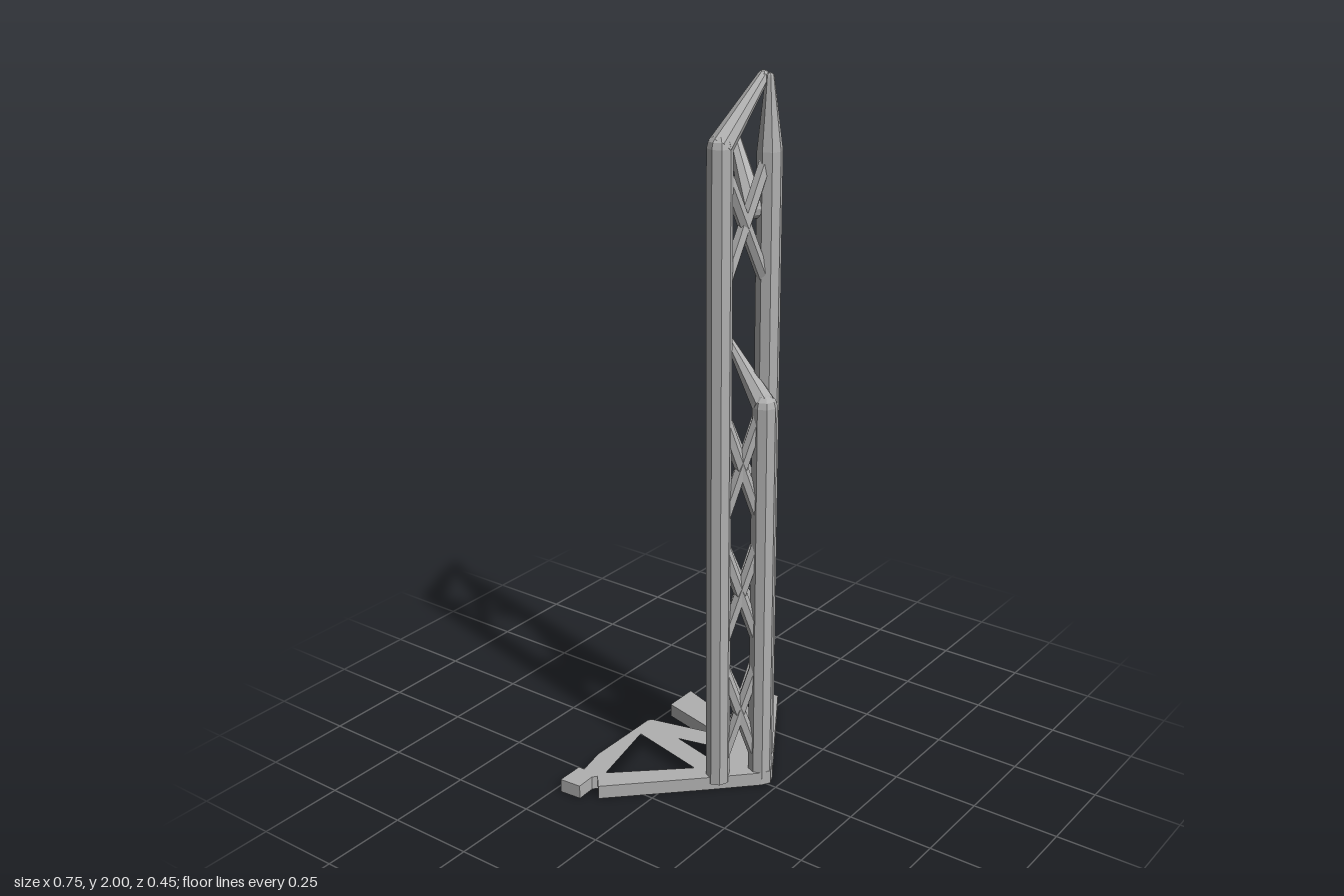
import * as THREE from 'three';

const grey = new THREE.MeshStandardMaterial({ color: 0xb0b0b0, flatShading: true });
grey.name = 'grey';
const V = (x, y, z) => new THREE.Vector3(x, y, z);

export function createModel() {
  const model = new THREE.Group();
  model.name = 'latticeTower';

  const add = (name, geometry) => {
    const mesh = new THREE.Mesh(geometry, grey);
    mesh.name = name;
    model.add(mesh);
    return mesh;
  };

  // A straight, optionally tapered bar between two points
  const bar = (name, a, b, r0, r1 = r0, sides = 8) => {
    const dir = b.clone().sub(a);
    const mesh = add(name, new THREE.CylinderGeometry(r1, r0, dir.length(), sides));
    mesh.position.copy(a).add(b).multiplyScalar(0.5);
    mesh.quaternion.setFromUnitVectors(V(0, 1, 0), dir.normalize());
  };
  const knob = (name, p, r) => add(name, new THREE.SphereGeometry(r, 8, 6)).position.copy(p);
  const spike = (name, a, b, r0, r1) => {
    bar(name, a, b, r0, r1);
    knob(name + 'Root', a, r0);
    knob(name + 'Tip', b, r1);
  };

  // Flat branching foot, drawn in x and z
  const points = (list) => list.map(([x, z]) => new THREE.Vector2(x, -z));
  const foot = new THREE.Shape(points([
    [-0.376, -0.228], [-0.296, -0.228], [-0.296, -0.209], [-0.21, -0.228],
    [0.025, -0.228], [0.035, -0.22], [0.085, -0.006], [0.138, -0.228],
    [0.24, -0.228], [0.142, 0.066], [0.374, -0.072], [0.374, 0.006],
    [0.04, 0.212], [0.01, 0.225], [-0.015, 0.21], [-0.12, 0.106],
    [-0.341, -0.12], [-0.302, -0.155], [-0.315, -0.165], [-0.371, -0.163],
  ]));
  const holes = [
    [[-0.274, -0.147], [-0.05, -0.197], [-0.105, 0.04]],
    [[-0.005, -0.09], [0.033, 0.074], [-0.045, 0.074]],
  ];
  for (const h of holes) foot.holes.push(new THREE.Path(points(h)));
  const plate = new THREE.ExtrudeGeometry(foot, { depth: 0.04, bevelEnabled: false });
  add('foot', plate.rotateX(-Math.PI / 2));

  // Three upright posts
  const R = 0.034;
  const posts = {
    right: { x: -0.087, z: 0.11, top: 1.83 },
    left: { x: 0.08, z: 0.146, top: 1.8 },
    front: { x: 0.01, z: 0.188, top: 1.14 },
  };
  const at = (p, y) => V(p.x, y, p.z);
  for (const [key, p] of Object.entries(posts)) {
    bar(key + 'Post', at(p, 0.02), at(p, p.top), R);
  }

  // Crossed braces between pairs of posts
  const cross = (p, q, y) => {
    bar('brace', at(p, y - 0.185), at(q, y + 0.185), 0.018, 0.018, 6);
    bar('brace', at(p, y + 0.185), at(q, y - 0.185), 0.018, 0.018, 6);
  };
  const { right, left, front } = posts;
  for (const y of [0.23, 0.6, 0.97]) {
    cross(right, left, y);
    cross(right, front, y);
    cross(left, front, y);
  }
  cross(right, left, 1.62);

  // Pointed top, sloping top arm and the two rear spikes
  spike('topPoint', at(left, 1.8), V(0.08, 1.983, 0.143), R, 0.012);
  spike('topArm', at(right, 1.83), V(0.078, 1.984, 0.125), R, 0.016);
  spike('upperSpike', V(0.05, 1.655, 0.115), V(0.15, 1.82, -0.02), 0.032, 0.016);
  spike('lowerSpike', at(front, 1.14), V(0.115, 1.255, 0), R, 0.012);

  return model;
}
